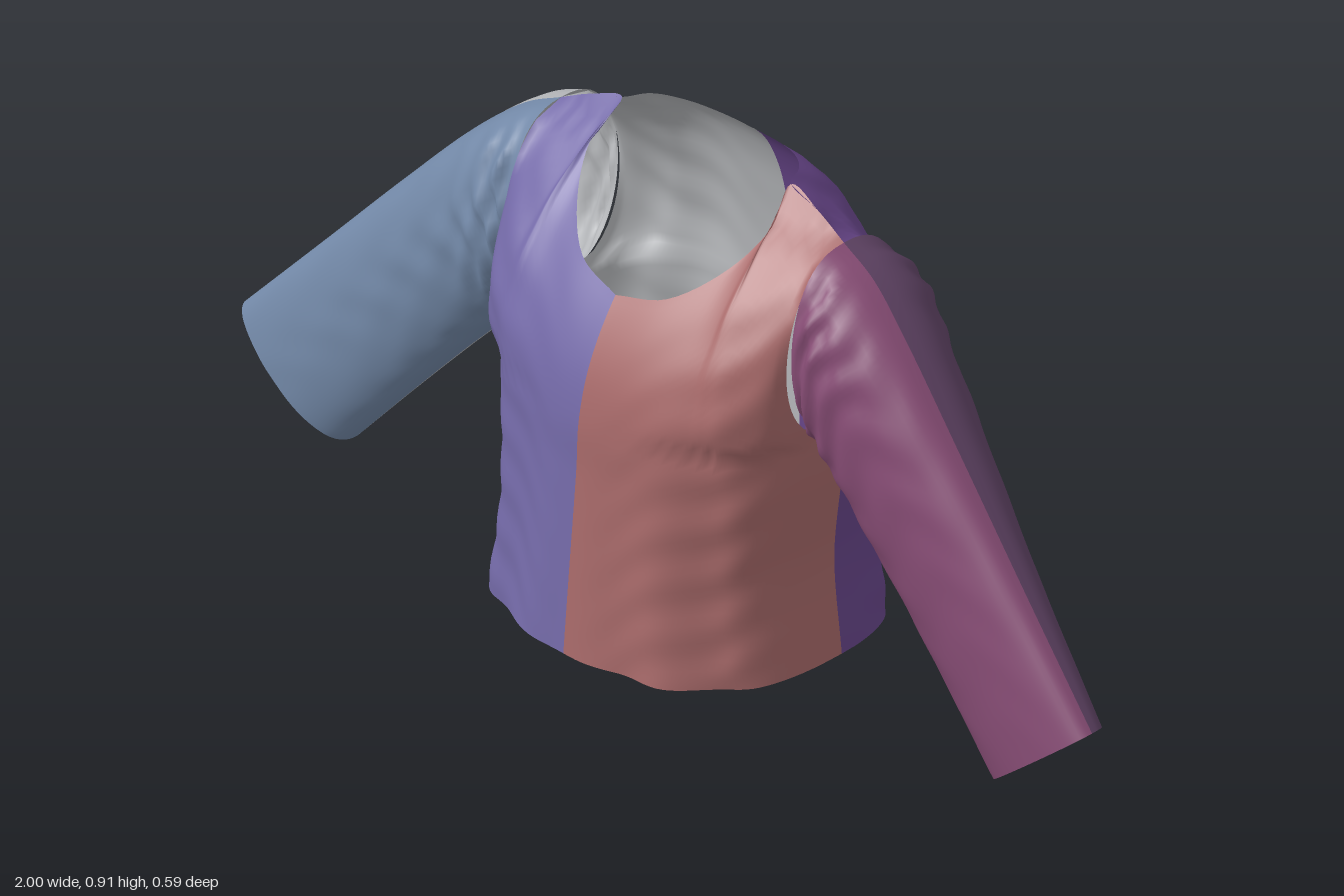
import * as THREE from 'three';

const mat = (name, color) => new THREE.MeshStandardMaterial({ name, color, side: THREE.DoubleSide });

// Smooth interpolation through a short table of [key, value] pairs
function smooth(table) {
  const n = table.length;
  const slope = (i) => {
    const a = table[Math.max(i - 1, 0)], b = table[Math.min(i + 1, n - 1)];
    return (b[1] - a[1]) / (b[0] - a[0]);
  };
  return (k) => {
    k = Math.min(Math.max(k, table[0][0]), table[n - 1][0]);
    let i = 0;
    while (i < n - 2 && k > table[i + 1][0]) i++;
    const [k0, v0] = table[i], [k1, v1] = table[i + 1];
    const h = k1 - k0, t = (k - k0) / h, t2 = t * t, t3 = t2 * t;
    return v0 * (2 * t3 - 3 * t2 + 1) + v1 * (3 * t2 - 2 * t3)
      + h * (slope(i) * (t3 - 2 * t2 + t) + slope(i + 1) * (t3 - t2));
  };
}

// Cloth sheet from a point rule over u, v in 0..1
function sheet(rule, nu, nv, flip) {
  const pos = [], index = [];
  for (let j = 0; j <= nv; j++)
    for (let i = 0; i <= nu; i++) pos.push(...rule(i / nu, j / nv));
  for (let j = 0; j < nv; j++)
    for (let i = 0; i < nu; i++) {
      const a = j * (nu + 1) + i, b = a + 1, c = a + nu + 1, d = c + 1;
      if (flip) index.push(a, d, b, a, c, d);
      else index.push(a, b, d, a, d, c);
    }
  const g = new THREE.BufferGeometry();
  g.setAttribute('position', new THREE.Float32BufferAttribute(pos, 3));
  g.setIndex(index);
  g.computeVertexNormals();
  return g;
}

// Body outline by height
const SEAM = -0.05;
const halfWidth = smooth([[0.03, 0.33], [0.22, 0.312], [0.4, 0.33], [0.5, 0.335], [0.95, 0.335]]);
const frontDepth = smooth([[0.03, 0.295], [0.2, 0.28], [0.4, 0.262], [0.5, 0.256], [0.6, 0.23],
  [0.7, 0.175], [0.8, 0.09], [0.87, 0.01], [0.93, -0.05]]);
const backDepth = smooth([[0.03, -0.29], [0.3, -0.288], [0.5, -0.283], [0.6, -0.273], [0.7, -0.25],
  [0.8, -0.215], [0.88, -0.16], [0.93, -0.08]]);

// Armhole: shared by the body sides and the sleeve roots
const ARM = { mid: 0.6825, half: 0.1825, front: 0.08, back: -0.19 };
const armholeZ = (y, face) => {
  const c = (y - ARM.mid) / ARM.half;
  const edge = face > 0 ? ARM.front : ARM.back;
  return SEAM + (edge - SEAM) * Math.pow(Math.max(0, 1 - c * c), 0.4);
};

// Neckline followed by the shoulder seam
const curve = (pts) => new THREE.CatmullRomCurve3(pts.map((p) => new THREE.Vector3(...p)));
const shoulder = [[0.2, 0.92, -0.06], [0.27, 0.898, -0.055], [0.335, 0.865, -0.05]];
const frontTop = curve([[0, 0.71, 0.165], [0.1, 0.735, 0.142], [0.18, 0.8, 0.07], [0.212, 0.865, 0], ...shoulder]);
const backTop = curve([[0, 0.888, -0.18], [0.07, 0.893, -0.172], [0.13, 0.906, -0.145], [0.175, 0.918, -0.105], ...shoulder]);

// Half of the front or back of the body, from centre line to side seam
function bodyPanel(side, face) {
  const top = face > 0 ? frontTop : backTop;
  const depth = face > 0 ? frontDepth : backDepth;
  const surfaceZ = (x, y) => {
    const r = Math.min(x / halfWidth(y), 1);
    const edge = armholeZ(y, face);
    return edge + (depth(y) - edge) * Math.pow(1 - r * r, 0.32);
  };
  return sheet((u, v) => {
    const t = top.getPoint(u);
    const hem = 0.03 + 0.013 * Math.cos(u * Math.PI / 2);
    const y = hem + (t.y - hem) * v;
    const base = halfWidth(y) * Math.sin(u * Math.PI / 2);
    const x = base + (t.x - base) * v ** 3;
    let z = surfaceZ(x, y) + (t.z - surfaceZ(t.x, t.y)) * v ** 4;
    // Hanging folds toward the hem, drag lines toward the armhole
    const fade = Math.sin(Math.PI * u) * (1 - v ** 6);
    const hang = 0.009 * (1 - v) * Math.sin(u * 17 + v * 3 + side);
    const drag = 0.005 * u * Math.sin(y * 62 - x * 40 + Math.sin(x * 30) + side);
    z += face * fade * (hang + drag);
    return [side * x, y, z];
  }, 36, 48, side * face < 0);
}

// Sleeve outline from shoulder (0) to cuff (1)
const upperEdge = curve([[0.335, 0.865, -0.05], [0.41, 0.825, -0.045], [0.5, 0.75, -0.03],
  [0.65, 0.59, -0.01], [0.82, 0.4, 0.01], [1, 0.2, 0.03]]);
const lowerEdge = curve([[0.335, 0.5, -0.05], [0.375, 0.465, -0.045], [0.43, 0.395, -0.035],
  [0.53, 0.285, -0.02], [0.645, 0.155, -0.01], [0.77, 0.01, 0]]);
const sleeveFront = smooth([[0, ARM.front], [0.2, 0.093], [0.4, 0.087], [0.7, 0.08], [1, 0.085]]);
const sleeveBack = smooth([[0, ARM.back], [0.2, -0.21], [0.4, -0.18], [0.6, -0.135], [0.8, -0.085], [1, -0.04]]);

// Front or back half of a sleeve, between its upper and lower seams
function sleevePanel(side, face) {
  return sheet((u, v) => {
    const a = Math.PI * (1 - v);
    const p = upperEdge.getPoint(u), q = lowerEdge.getPoint(u);
    const m = p.clone().add(q).multiplyScalar(0.5);
    p.sub(m).multiplyScalar(Math.cos(a)).add(m);
    const bulge = Math.pow(Math.max(0, Math.sin(a)), 0.8);
    const edge = face > 0 ? sleeveFront(u) : sleeveBack(u);
    // Bunched creases near the shoulder, fading to the cuff
    const amp = 0.011 * Math.min(u * 12, 1) * Math.exp(-u * 3.5) * Math.sin(a);
    const crease = Math.sin(u * 48 + a * 4 + 1.5 * Math.sin(a * 5 + side))
      + 0.6 * Math.sin(u * 31 - a * 9 + face);
    return [side * p.x, p.y, p.z + (edge - p.z) * bulge + face * amp * crease];
  }, 56, 28, side * face < 0);
}

export function createModel() {
  const red = mat('dusty red', 0xa86a6a);
  const periwinkle = mat('periwinkle', 0x746aa8);
  const purple = mat('purple', 0x68468a);
  const grey = mat('light grey', 0xb6b8bb);
  const plum = mat('plum', 0x864c74);
  const darkPlum = mat('dark plum', 0x5f4364);
  const slate = mat('slate blue', 0x7389a8);

  const model = new THREE.Group();
  model.name = 'croppedTop';
  const add = (name, geometry, material) => {
    const mesh = new THREE.Mesh(geometry, material);
    mesh.name = name;
    model.add(mesh);
  };

  // Patchwork of four body panels and four sleeve halves
  const panels = [
    ['Left', 1, 'Front', 1, red, plum],
    ['Left', 1, 'Back', -1, purple, darkPlum],
    ['Right', -1, 'Front', 1, periwinkle, slate],
    ['Right', -1, 'Back', -1, grey, grey],
  ];
  for (const [sideName, side, faceName, face, bodyMat, sleeveMat] of panels) {
    add(`body${faceName}${sideName}`, bodyPanel(side, face), bodyMat);
    add(`sleeve${faceName}${sideName}`, sleevePanel(side, face), sleeveMat);
  }
  return model;
}
